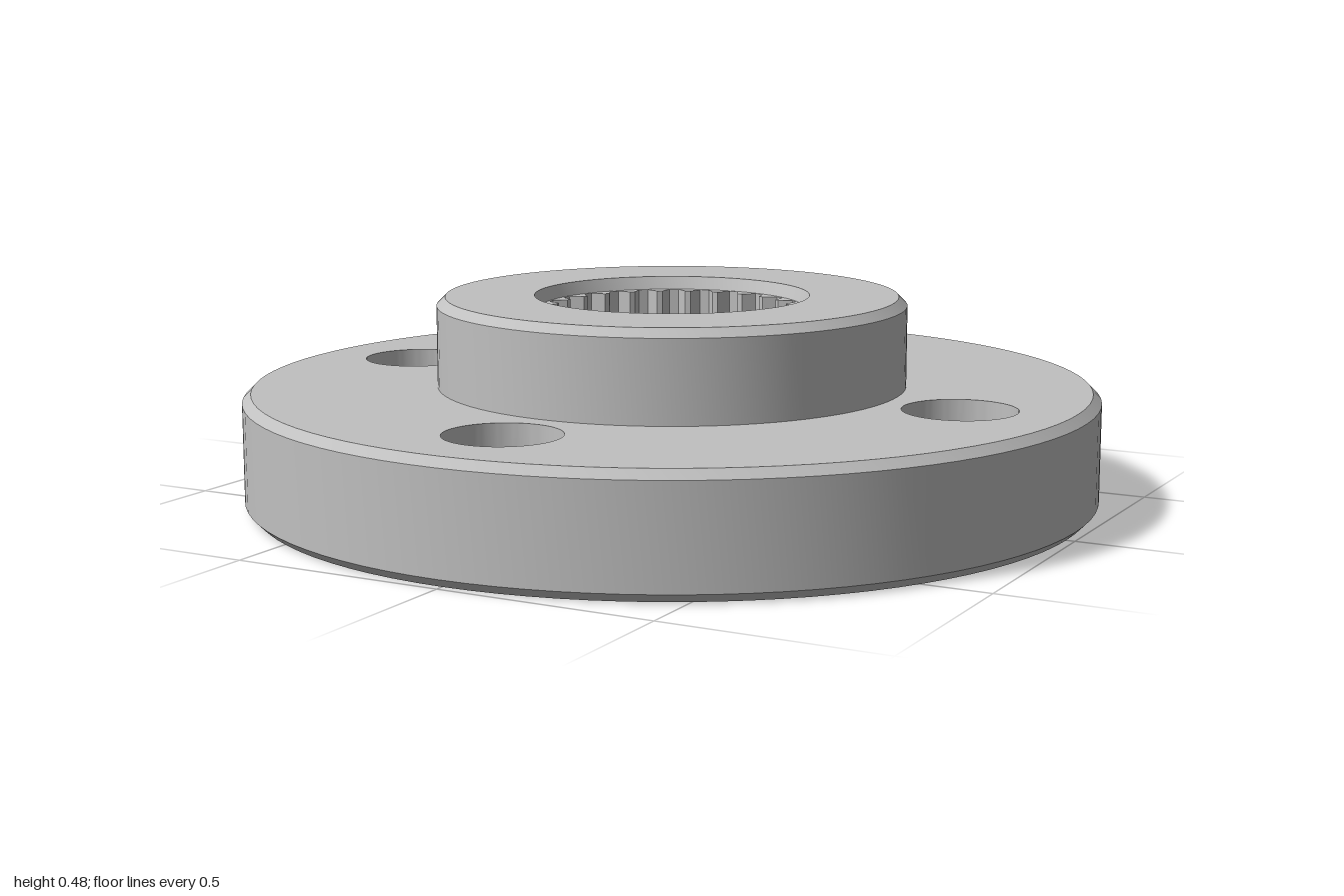
import * as THREE from 'three';
import { toCreasedNormals } from 'three/addons/utils/BufferGeometryUtils.js';

const SEG = 96;
const FLANGE_R = 1.0, FLANGE_TOP = 0.27;
const HUB_R = 0.55, HUB_TOP = 0.48;
const SOCKET_R = 0.31, SOCKET_FLOOR = 0.15, SOCKET_LIP = 0.45;
const BORE_R = 0.17, BOLT_R = 0.13, TEETH = 25;
const BOLTS = [[0.73, 0.01], [0.01, -0.73], [-0.73, -0.015], [-0.01, 0.73]];

// Circle outline; z is the model's z
function circle(r, x = 0, z = 0, Type = THREE.Path) {
  const c = new Type();
  c.absarc(x, -z, r, 0, Math.PI * 2, false);
  return c;
}

// Flat horizontal face with holes, seen from above or from below
function face(r, holes, y, up) {
  const shape = circle(r, 0, 0, THREE.Shape);
  shape.holes.push(...holes);
  const geo = new THREE.ShapeGeometry(shape, SEG / 2);
  geo.rotateX(-Math.PI / 2);
  if (!up) geo.rotateX(Math.PI); // turned over about x, so z is mirrored
  return geo.translate(0, y, 0);
}

// Turned surface: rising profiles face outward, falling ones inward
function turned(profile) {
  const pts = profile.map(([r, y]) => new THREE.Vector2(r, y));
  return toCreasedNormals(new THREE.LatheGeometry(pts, SEG), 0.4);
}

// Ring of internal spline teeth
function splineRing() {
  const shape = circle(SOCKET_R + 0.005, 0, 0, THREE.Shape);
  const outline = [];
  const steps = [[0, 0.305], [0.3, 0.305], [0.55, 0.275], [0.75, 0.275]];
  for (let i = 0; i < TEETH; i++) {
    for (const [t, r] of steps) {
      const a = ((i + t) / TEETH) * Math.PI * 2;
      outline.push(new THREE.Vector2(r * Math.cos(a), r * Math.sin(a)));
    }
  }
  shape.holes.push(new THREE.Path(outline));
  const geo = new THREE.ExtrudeGeometry(shape, {
    depth: SOCKET_LIP - SOCKET_FLOOR, bevelEnabled: false, curveSegments: SEG / 2,
  });
  return geo.rotateX(-Math.PI / 2).translate(0, SOCKET_FLOOR, 0);
}

export function createModel() {
  const model = new THREE.Group();
  const metal = new THREE.MeshStandardMaterial({ color: 0xc0c0c0 });
  metal.name = 'greyMetal';

  function add(name, geo, parent = model) {
    const mesh = new THREE.Mesh(geo, metal);
    mesh.name = name;
    parent.add(mesh);
    return mesh;
  }

  // Flange disc with chamfered rim
  const flange = new THREE.Group();
  flange.name = 'flange';
  model.add(flange);
  const inner = FLANGE_R - 0.02;
  add('flangeRim', turned([
    [inner, 0], [FLANGE_R, 0.02], [FLANGE_R, FLANGE_TOP - 0.02], [inner, FLANGE_TOP],
  ]), flange);
  const topHoles = BOLTS.map(([x, z]) => circle(BOLT_R, x, z));
  add('flangeTop', face(inner, [circle(HUB_R), ...topHoles], FLANGE_TOP, true), flange);
  const bottomHoles = BOLTS.map(([x, z]) => circle(BOLT_R, x, -z));
  add('flangeUnderside', face(inner, [circle(BORE_R), ...bottomHoles], 0, false), flange);

  // Walls of the four bolt holes
  BOLTS.forEach(([x, z]) => {
    const wall = add('boltHole', turned([[BOLT_R, FLANGE_TOP], [BOLT_R, 0]]), flange);
    wall.position.set(x, 0, z);
  });

  // Hub with chamfered edge and lead-in to the socket
  add('hub', turned([
    [HUB_R, FLANGE_TOP], [HUB_R, HUB_TOP - 0.02], [HUB_R - 0.02, HUB_TOP],
    [SOCKET_R + 0.012, HUB_TOP], [SOCKET_R, SOCKET_LIP],
  ]));

  // Toothed socket, its floor and the centre bore
  add('splineTeeth', splineRing());
  add('socketFloor', face(SOCKET_R, [circle(BORE_R)], SOCKET_FLOOR, true));
  add('centreBore', turned([[BORE_R, SOCKET_FLOOR], [BORE_R, 0]]));

  return model;
}
